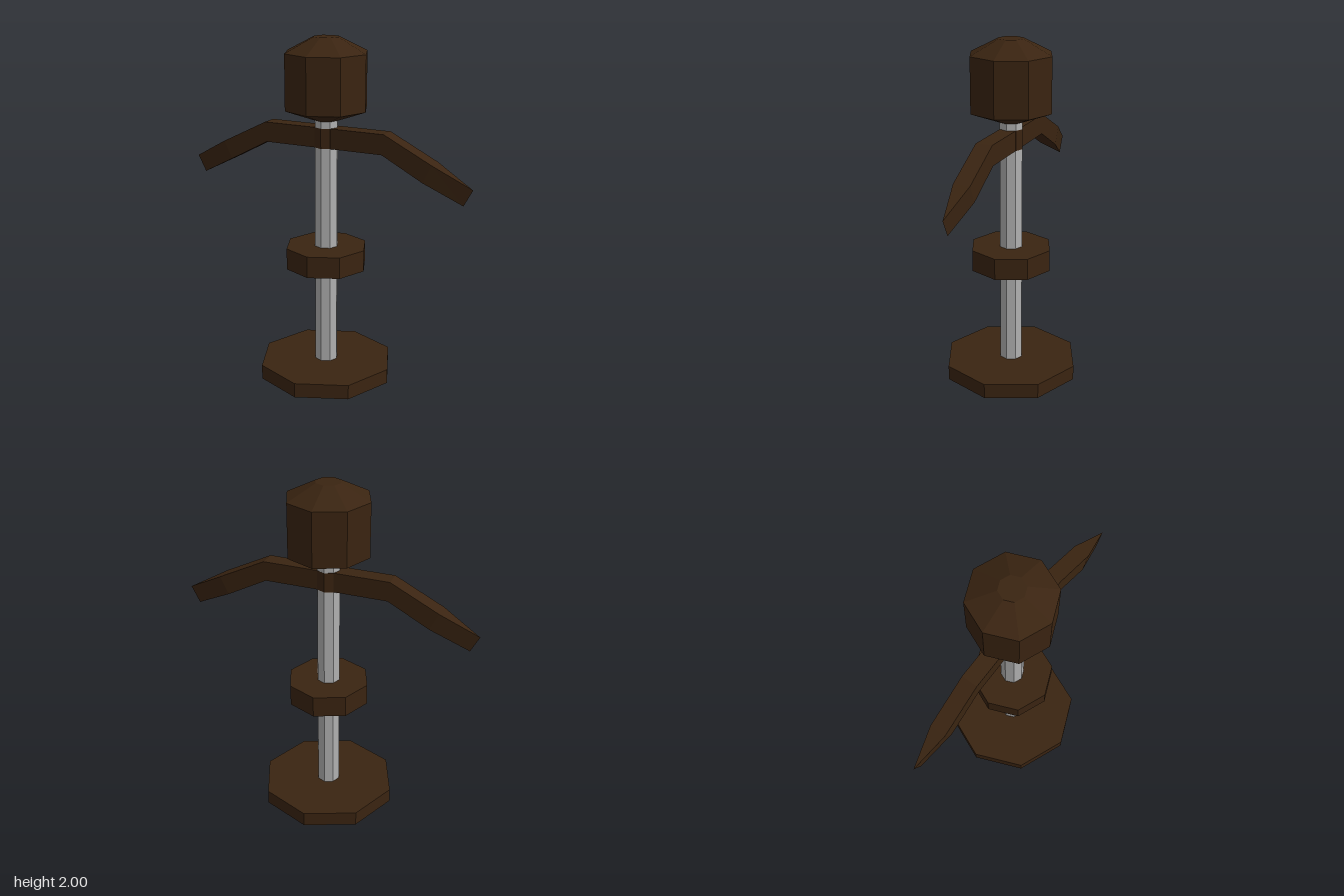
import * as THREE from 'three';

const wood = new THREE.MeshStandardMaterial({ color: 0x3a2411, flatShading: true });
wood.name = 'darkWood';
const steel = new THREE.MeshStandardMaterial({ color: 0xb0b0b0, flatShading: true });
steel.name = 'greySteel';

const POLE_R = 0.068;

// Eight-sided turned part from a [radius, y] profile, listed bottom to top
function turned(name, profile, material) {
  const points = profile.map(([r, y]) => new THREE.Vector2(r, y));
  const mesh = new THREE.Mesh(new THREE.LatheGeometry(points, 8), material);
  mesh.name = name;
  return mesh;
}

// Solid eight-sided disc between two heights
function disc(name, r, y0, y1, material) {
  return turned(name, [[0, y0], [r, y0], [r, y1], [0, y1]], material);
}

// Bent bar lofted through stations of [topX, topY, bottomX, bottomY, halfDepth]
function crossbarGeometry() {
  const half = [
    [0.37, 1.5, 0.36, 1.385, 0.048],
    [0.65, 1.36, 0.60, 1.258, 0.048],
    [0.87, 1.24, 0.82, 1.145, 0],
  ];
  const mirrored = half.map(([tx, ty, bx, by, d]) => [-tx, ty, -bx, by, d]).reverse();
  const stations = [...mirrored, ...half];
  const positions = [];
  const index = [];
  for (const [tx, ty, bx, by, d] of stations) {
    positions.push(tx, ty, d, tx, ty, -d, bx, by, -d, bx, by, d);
  }
  for (let s = 0; s < stations.length - 1; s++) {
    for (let k = 0; k < 4; k++) {
      const a = s * 4 + k;
      const b = s * 4 + (k + 1) % 4;
      index.push(a, a + 4, b, b, a + 4, b + 4);
    }
  }
  const geometry = new THREE.BufferGeometry();
  geometry.setAttribute('position', new THREE.Float32BufferAttribute(positions, 3));
  geometry.setIndex(index);
  const flat = geometry.toNonIndexed();
  flat.computeVertexNormals();
  return flat;
}

export function createModel() {
  const model = new THREE.Group();
  model.name = 'swordHilt';

  // Central shaft, its end showing under the base
  model.add(disc('shaft', POLE_R, 0, 1.545, steel));

  // Base plate and collar
  model.add(disc('basePlate', 0.4, 0.002, 0.088, wood));
  model.add(disc('collar', 0.24, 0.675, 0.8, wood));

  // Crossbar with the band where it meets the shaft
  model.add(disc('crossbarBand', POLE_R + 0.001, 1.385, 1.5, wood));
  const crossbar = new THREE.Mesh(crossbarGeometry(), wood);
  crossbar.name = 'crossbar';
  model.add(crossbar);

  // Chamfered head
  model.add(turned('head', [
    [0, 1.54], [0.073, 1.54], [0.24, 1.6], [0.24, 1.915], [0.073, 2], [0, 2],
  ], wood));

  return model;
}
